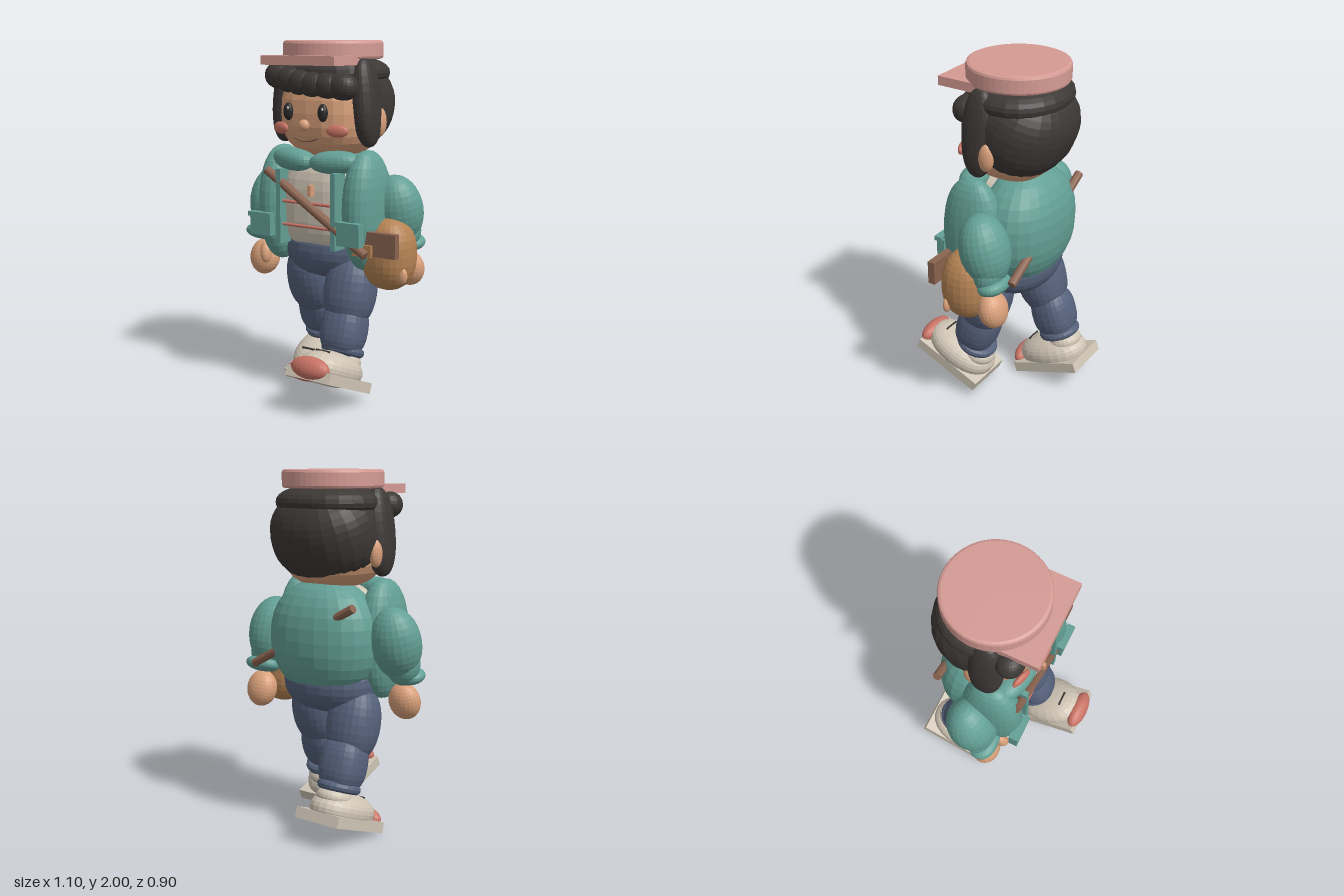
import * as THREE from 'three';

const mat = (name, color, side = THREE.FrontSide) => {
  const m = new THREE.MeshStandardMaterial({ color, side });
  m.name = name;
  return m;
};

export function createModel() {
  const pink = mat('hat pink', 0xd59b94);
  const dark = mat('hair charcoal', 0x3c3836, THREE.DoubleSide);
  const skin = mat('skin', 0xd9a07a);
  const teal = mat('jacket teal', 0x639f95);
  const cream = mat('shirt and shoe cream', 0xcfc5b5);
  const blue = mat('trouser blue', 0x55617b);
  const brown = mat('strap brown', 0x8a6350);
  const tan = mat('bag tan', 0xb58354);
  const red = mat('accent red', 0xc87365);
  const black = mat('eye black', 0x2b2b2d);

  const root = new THREE.Group();
  root.name = 'walkingFigure';

  const add = (parent, name, geo, material, p = [0, 0, 0], r = [0, 0, 0]) => {
    const flat = geo.index ? geo.toNonIndexed() : geo;
    flat.computeVertexNormals(); // faceted look
    const m = new THREE.Mesh(flat, material);
    m.name = name;
    m.position.set(...p);
    m.rotation.set(...r);
    parent.add(m);
    return m;
  };

  // Ellipsoid; e below 1 makes it boxier, cut ends it early at the bottom
  const blob = (parent, name, material, p, s, r, e = 1, cut = 1) => {
    const g = new THREE.SphereGeometry(1, 24, 16, 0, Math.PI * 2, 0, Math.PI * cut);
    const a = g.attributes.position;
    const pw = v => Math.sign(v) * Math.pow(Math.abs(v), e);
    for (let i = 0; i < a.count; i++) a.setXYZ(i, pw(a.getX(i)) * s[0], pw(a.getY(i)) * s[1], pw(a.getZ(i)) * s[2]);
    return add(parent, name, g, material, p, r);
  };
  // Box given by its minimum and maximum corners
  const box = (parent, name, material, a, b) =>
    add(parent, name, new THREE.BoxGeometry(b[0] - a[0], b[1] - a[1], b[2] - a[2]), material,
      a.map((v, i) => (v + b[i]) / 2));
  // Straight rod between two points
  const rod = (parent, name, material, a, b, radius) => {
    const A = new THREE.Vector3(...a), B = new THREE.Vector3(...b), d = B.clone().sub(A);
    const m = add(parent, name, new THREE.CylinderGeometry(radius, radius, d.length(), 12), material,
      A.add(B).multiplyScalar(0.5).toArray());
    m.quaternion.setFromUnitVectors(new THREE.Vector3(0, 1, 0), d.normalize());
    return m;
  };
  const group = name => {
    const g = new THREE.Group();
    g.name = name;
    root.add(g);
    return g;
  };

  // Hat
  const hat = group('hat');
  const crown = [[0, 1.9], [0.262, 1.9], [0.272, 1.904], [0.277, 1.914], [0.277, 1.984], [0.272, 1.995], [0.26, 2], [0, 2]]
    .map(p => new THREE.Vector2(...p));
  add(hat, 'hatCrown', new THREE.LatheGeometry(crown, 48), pink, [-0.01, 0, -0.073]);
  box(hat, 'hatBrim', pink, [-0.25, 1.87, 0.02], [0.235, 1.92, 0.267]);

  // Head and face
  const head = group('head');
  blob(head, 'skull', skin, [-0.007, 1.61, -0.065], [0.275, 0.25, 0.252], undefined, 0.76);
  blob(head, 'nose', skin, [-0.01, 1.55, 0.2], [0.032, 0.032, 0.028]);
  for (const s of [-1, 1]) {
    const cx = -0.01;
    blob(head, 'ear', skin, [s * 0.3, 1.565, -0.07], [0.035, 0.08, 0.046]);
    blob(head, 'eye', black, [cx + s * 0.115, 1.62, 0.186], [0.03, 0.048, 0.022]);
    blob(head, 'eyeGlint', cream, [cx + s * 0.115 + 0.01, 1.64, 0.204], [0.006, 0.009, 0.006]);
    blob(head, 'cheek', red, [cx + s * 0.19, 1.525, 0.157], [0.063, 0.034, 0.02], [0, s * 0.3, 0]);
  }
  const smile = new THREE.QuadraticBezierCurve3(new THREE.Vector3(-0.085, 1.483, 0.183),
    new THREE.Vector3(-0.008, 1.447, 0.2), new THREE.Vector3(0.07, 1.483, 0.183));
  add(head, 'mouth', new THREE.TubeGeometry(smile, 12, 0.007, 6), brown);

  // Hair: back shell, roll under the hat, side locks and fringe
  const hair = group('hair');
  blob(hair, 'hairBack', dark, [-0.002, 1.66, -0.115], [0.315, 0.26, 0.27], [-0.36, 0, 0], 0.87, 0.73);
  blob(hair, 'hairRoll', dark, [-0.005, 1.825, -0.1], [0.3, 0.1, 0.262], undefined, 0.92);
  for (const s of [-1, 1])
    blob(hair, 'sideLock', dark, [-0.008 + s * 0.265, 1.67, -0.002], [0.07, 0.24, 0.096], [0, 0, s * 0.1], 0.88);
  for (let i = 0; i < 6; i++) {
    const t = i / 5, bow = Math.sin(t * Math.PI);
    blob(hair, 'fringeCurl', dark, [-0.235 + t * 0.42, 1.808 - t * 0.05 - 0.015 * bow, 0.115 + 0.02 * bow],
      [0.088, 0.073, 0.075], [0, 0, -0.1], 0.92);
  }

  // Torso: shirt, jacket, collar and pockets
  const torso = group('torso');
  blob(torso, 'jacketBack', teal, [-0.005, 1.09, -0.135], [0.335, 0.325, 0.23], undefined, 0.9);
  blob(torso, 'shirt', cream, [-0.01, 1.1, -0.02], [0.25, 0.28, 0.188], undefined, 0.68);
  for (const y of [1.12, 0.99]) rod(torso, 'shirtStripe', red, [-0.19, y, 0.167], [0.17, y, 0.167], 0.009);
  box(torso, 'shirtTab', skin, [0.01, 1.165, 0.15], [0.032, 1.225, 0.2]);
  for (const s of [-1, 1]) {
    const cx = -0.01;
    blob(torso, 'jacketFront', teal, [s * 0.285, 1.09, 0.025], [0.108, 0.33, 0.175], undefined, 0.9);
    box(torso, 'jacketEdge', teal, [cx + s * 0.185 - 0.015, 0.88, 0.1], [cx + s * 0.185 + 0.015, 1.3, 0.196]);
    blob(torso, 'collar', teal, [cx + s * 0.14, 1.35, 0.105], [0.15, 0.063, 0.078], [0, s * 0.2, s * 0.05], 0.9);
    const px = cx + s * 0.297;
    box(torso, 'pocket', teal, [px - 0.072, 0.92, 0.17], [px + 0.072, 1.035, 0.218]);
    box(torso, 'pocketFlap', teal, [px - 0.078, 1.025, 0.185], [px + 0.078, 1.05, 0.23]);
  }

  // Arms, swinging in opposite directions
  for (const [name, x, swing, z, hx, hz] of [['leftArm', 0.39, 0.25, -0.12, 0.41, -0.19], ['rightArm', -0.405, -0.25, -0.035, -0.425, 0.045]]) {
    const arm = group(name);
    blob(arm, 'sleeve', teal, [x, 1.085, z], [0.145, 0.2, 0.135], [swing, 0, 0]);
    blob(arm, 'forearm', teal, [hx, 0.97, (z + hz) / 2], [0.1, 0.12, 0.085]);
    blob(arm, 'sleeveCuff', teal, [hx, 0.9, hz], [0.108, 0.045, 0.078], [swing, 0, 0], 0.9);
    blob(arm, 'hand', skin, [hx + 0.012, 0.755, hz], [0.094, 0.105, 0.075], [swing, 0, 0]);
  }
  blob(root, 'rightThumb', skin, [-0.35, 0.8, 0.115], [0.033, 0.065, 0.035], [-0.2, 0, 0.15]);
  blob(root, 'leftThumb', skin, [0.522, 0.76, 0.04], [0.03, 0.045, 0.02]);

  // Shoulder bag and strap
  const bag = group('shoulderBag');
  blob(bag, 'bagBody', tan, [0.4, 0.86, -0.02], [0.15, 0.2, 0.138], undefined, 0.86);
  box(bag, 'bagFlap', brown, [0.355, 0.87, 0.105], [0.54, 1.0, 0.147]);
  box(bag, 'bagClasp', tan, [0.28, 0.865, 0.147], [0.4, 0.93, 0.165]);
  rod(bag, 'strapFront', brown, [-0.29, 1.285, 0.17], [0.375, 0.875, 0.175], 0.026);
  rod(bag, 'strapBack', brown, [-0.31, 1.29, -0.285], [0.39, 0.92, -0.285], 0.024);

  // Trousers
  const hips = group('trousers');
  blob(hips, 'hips', blue, [-0.01, 0.84, -0.08], [0.285, 0.17, 0.225], undefined, 0.9);

  // Legs and shoes in mid-stride: left forward, right back
  const legs = [
    { name: 'leftLeg', x: 0.172, tilt: -0.3, thighZ: 0.015, calfZ: 0.075, ankleZ: 0.09, foot: [0.17, 0.165, 0.218], pitch: -0.4 },
    { name: 'rightLeg', x: -0.193, tilt: 0.3, thighZ: -0.125, calfZ: -0.215, ankleZ: -0.255, foot: [-0.19, 0.105, -0.24], pitch: 0.345 },
  ];
  for (const l of legs) {
    const leg = group(l.name);
    blob(leg, 'thigh', blue, [l.x, 0.63, l.thighZ], [0.148, 0.22, 0.14], [l.tilt * 0.8, 0, 0], 0.9);
    blob(leg, 'calf', blue, [l.x, 0.42, l.calfZ], [0.128, 0.16, 0.122], [l.tilt, 0, 0], 0.8);
    const cuff = new THREE.TorusGeometry(0.095, 0.027, 10, 24);
    add(leg, 'trouserCuff', cuff, blue, [l.x, 0.3, l.ankleZ], [Math.PI / 2 + l.pitch, 0, 0]);

    const shoe = new THREE.Group();
    shoe.name = 'shoe';
    shoe.position.set(...l.foot);
    shoe.rotation.x = l.pitch;
    leg.add(shoe);
    box(shoe, 'sole', cream, [-0.145, -0.03, -0.215], [0.145, 0.03, 0.215]);
    blob(shoe, 'shoeUpper', cream, [0, 0.057, 0], [0.15, 0.098, 0.215], undefined, 0.92);
    blob(shoe, 'shoeCollar', cream, [0, 0.12, -0.1], [0.1, 0.06, 0.1]);
    blob(shoe, 'toeCap', red, [0, 0.035, 0.205], [0.122, 0.062, 0.052]);
    box(shoe, 'lace', dark, [-0.045, 0.134, 0.117], [0.045, 0.146, 0.126]);
  }
  return root;
}
